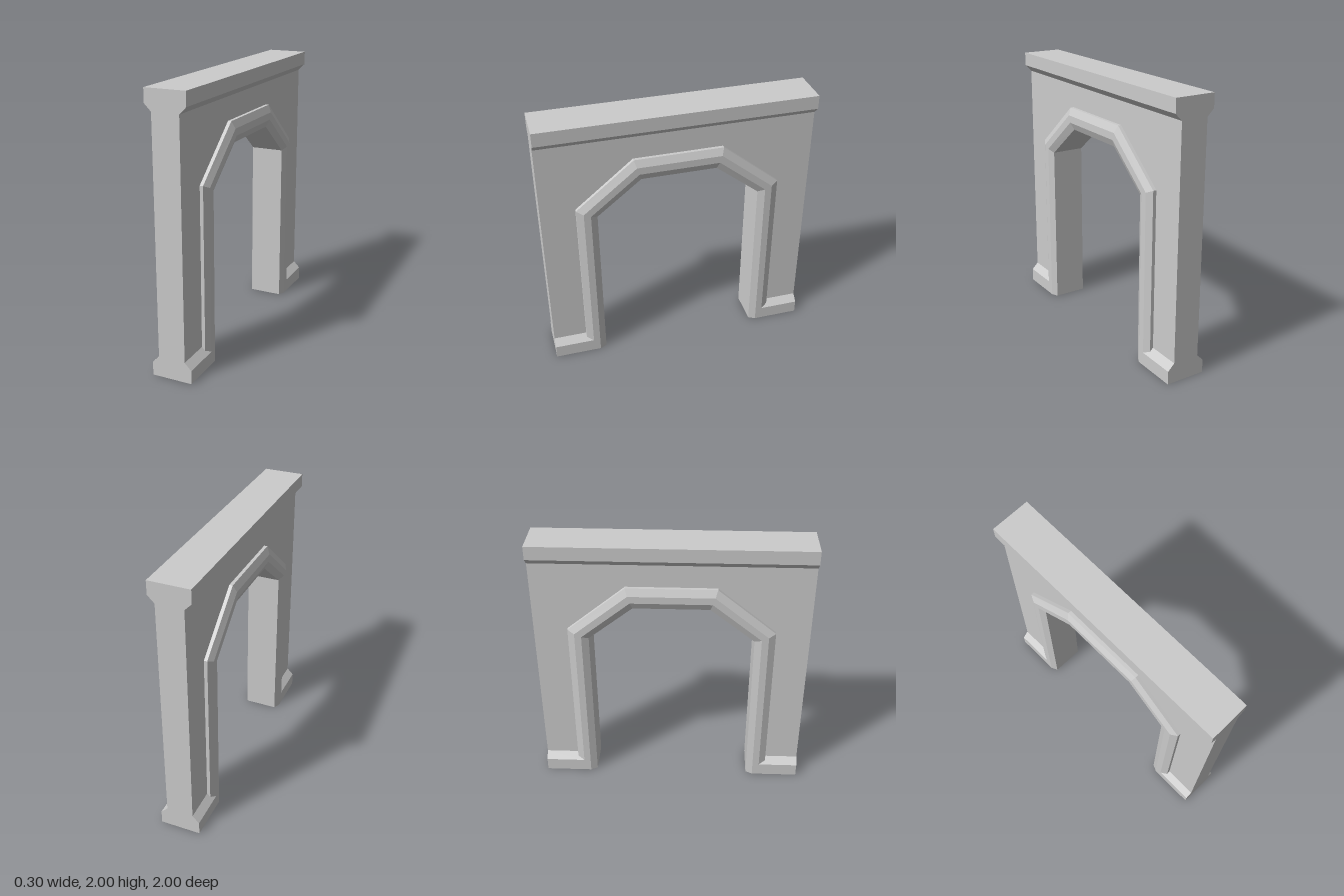
import * as THREE from 'three';

const material = new THREE.MeshStandardMaterial({ color: 0xcccccc, flatShading: true, side: THREE.DoubleSide });

// Skin through rows of points; faces look along (column direction) x (row direction)
function loft(rows) {
  const pos = [];
  for (let i = 0; i < rows.length - 1; i++) {
    for (let j = 0; j < rows[i].length - 1; j++) {
      const a = rows[i][j], b = rows[i][j + 1];
      const c = rows[i + 1][j + 1], d = rows[i + 1][j];
      pos.push(...a, ...b, ...c, ...a, ...c, ...d);
    }
  }
  const geo = new THREE.BufferGeometry();
  geo.setAttribute('position', new THREE.Float32BufferAttribute(pos, 3));
  geo.computeVertexNormals();
  return geo;
}

// Run an (x, y) section straight along z
const run = (section, z0, z1) => loft([z0, z1].map((z) => section.map(([x, y]) => [x, y, z])));

const flat = (points) => new THREE.ShapeGeometry(new THREE.Shape(points.map(([x, y]) => new THREE.Vector2(x, y))));

// Arch outlines as (z, y), from the left foot over to the right foot
const mirrorArch = (half) => [...half, ...half.slice().reverse().map(([z, y]) => [-z, y])];
const outer = mirrorArch([[0.75, 0], [0.75, 1.33], [0.325, 1.68]]);
const inner = mirrorArch([[0.6, 0], [0.6, 1.26], [0.275, 1.52]]);

export function createModel() {
  const group = new THREE.Group();
  const add = (name, geo) => {
    const mesh = new THREE.Mesh(geo, material);
    mesh.name = name;
    group.add(mesh);
    return mesh;
  };

  // Cornice along the top
  add('cornice', run([[0.1, 1.85], [0.15, 1.9], [0.15, 2], [-0.15, 2], [-0.15, 1.9], [-0.1, 1.85]], -1, 1));

  // Arch surround: chamfered section (x, share from outer to inner outline) swept over the opening
  const halfSection = [[0.1, 0], [0.125, 0], [0.15, 1 / 3], [0.15, 2 / 3], [0.125, 1]];
  const section = [...halfSection, ...halfSection.slice().reverse().map(([x, t]) => [-x, t])];
  add('archSurround', loft(outer.map(([z, y], i) => section.map(([x, t]) => [
    x,
    THREE.MathUtils.lerp(y, inner[i][1], t),
    THREE.MathUtils.lerp(z, inner[i][0], t),
  ]))));

  // Flat wall panels on both sides, cut out around the arch
  const wall = [[1, 0.15], [1, 1.85], [-1, 1.85], [-1, 0.15],
    ...outer.slice().reverse().map(([z, y]) => [z, Math.max(y, 0.15)])];
  for (const side of [1, -1]) {
    const panel = add(side > 0 ? 'leftWallPanel' : 'rightWallPanel', flat(wall));
    panel.rotation.y = side * Math.PI / 2;
    panel.position.x = side * 0.1;
  }

  // Plinths at the feet, running into the surround
  for (const z of [0.7, -1]) {
    const place = z > 0 ? 'front' : 'back';
    add(place + 'LeftPlinth', run([[0.15, 0], [0.15, 0.1], [0.1, 0.15]], z, z + 0.3));
    add(place + 'RightPlinth', run([[-0.1, 0.15], [-0.15, 0.1], [-0.15, 0]], z, z + 0.3));
  }

  // End faces showing the full wall profile
  const halfProfile = [[0.15, 0], [0.15, 0.1], [0.1, 0.15], [0.1, 1.85], [0.15, 1.9], [0.15, 2]];
  const profile = [...halfProfile, ...halfProfile.slice().reverse().map(([x, y]) => [-x, y])];
  for (const end of [1, -1]) {
    const face = add(end > 0 ? 'frontEnd' : 'backEnd', flat(profile));
    face.position.z = end;
    if (end < 0) face.rotation.y = Math.PI;
  }

  return group;
}
